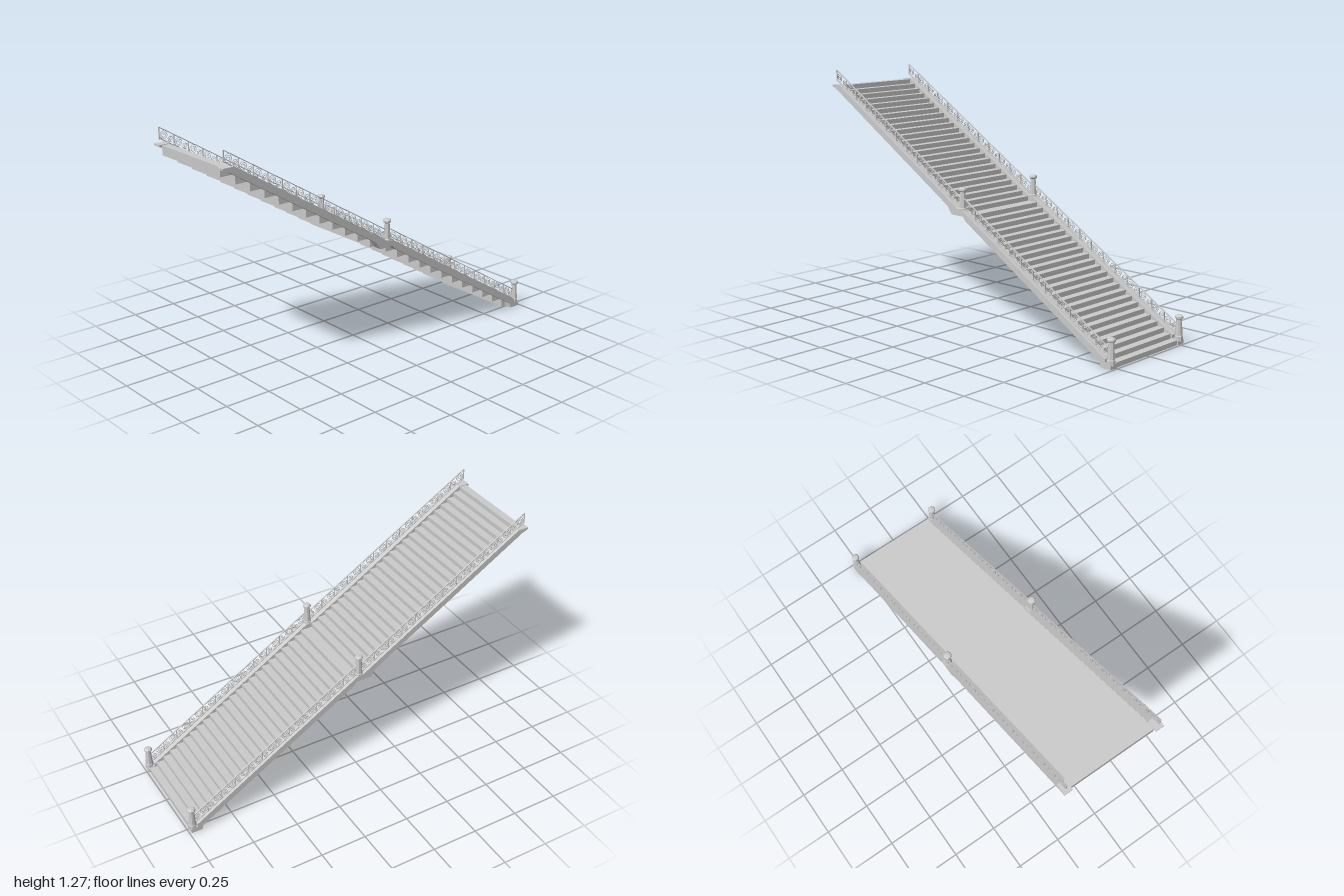
import * as THREE from 'three';

const RISE = 0.0246, RUN = 0.0405, STEPS = 48, FOOT = 0.985, LANDING = 0.025;
const SLOPE = RISE / RUN;
const SIDE_Z = 0.265;

const grey = () => new THREE.MeshStandardMaterial({ color: 0xcccccc });

// front edge of step k (a short landing widens the middle step)
const stepX = k => FOOT - k * RUN - (k >= STEPS / 2 ? LANDING : 0);
// height of the line touching the step edges
const noseY = (x, upper) => RISE + SLOPE * (FOOT - x - (upper ? LANDING : 0));

function extrude(points, depth) {
  const shape = new THREE.Shape(points.map(p => new THREE.Vector2(p[0], p[1])));
  const geo = new THREE.ExtrudeGeometry(shape, { depth, bevelEnabled: false });
  return geo.translate(0, 0, -depth / 2);
}

export function createModel() {
  const model = new THREE.Group();
  model.name = 'staircase';
  const mat = grey();
  const thin = grey();
  thin.side = THREE.DoubleSide;

  const add = (parent, geo, name, x = 0, y = 0, z = 0, m = mat) => {
    const mesh = new THREE.Mesh(geo, m);
    mesh.name = name;
    mesh.position.set(x, y, z);
    parent.add(mesh);
    return mesh;
  };

  // Steps: fine treads above, coarse stepped soffit (one block per two treads) below
  const profile = [[FOOT, 0]];
  for (let k = 0; k < STEPS; k++) {
    const y = RISE * (k + 1);
    profile.push([stepX(k), y]);
    profile.push([k === STEPS - 1 ? -FOOT : stepX(k + 1), y]);
  }
  for (let j = STEPS / 2 - 1; j >= 0; j--) {
    const y = 2 * RISE * j;
    const left = FOOT - 2 * RUN * (j + 1) - (j >= STEPS / 4 ? LANDING : 0);
    const right = j === 0 ? FOOT : FOOT - 2 * RUN * j - (j > STEPS / 4 ? LANDING : 0);
    profile.push([left, y]);
    if (j > 0) profile.push([right, y]);
  }
  add(model, extrude(profile, 0.48), 'steps');

  // Stringers: sloping curbs with flat seats for the posts
  const t = 0.036;
  const stringer = extrude([
    [-1, 1.184], [-1, 1.174], [-0.965, 1.16],
    [-0.09, noseY(-0.09, true) - t], [-0.06, 0.585], [0.02, 0.585], [0.045, noseY(0.045) - t],
    [0.925, noseY(0.925) - t], [0.93, 0], [0.99, 0],
    [0.99, 0.022], [0.955, 0.03], [0.955, noseY(0.955) + 0.003],
    [0.025, noseY(0.025) + 0.003], [0.02, 0.614], [-0.015, 0.618], [-0.94, 1.184],
  ], 0.047);

  // Newel post: eight-sided, tapered, with base and cap
  const postGeo = new THREE.LatheGeometry([
    [0, 0], [0.022, 0], [0.022, 0.025], [0.0195, 0.03], [0.0145, 0.105], [0.0145, 0.112],
    [0.0215, 0.117], [0.0215, 0.126], [0.016, 0.132], [0, 0.134],
  ].map(p => new THREE.Vector2(p[0], p[1])), 8, Math.PI / 8);
  const postMat = grey();
  postMat.flatShading = true;

  // Scroll: a flat iron spiral
  const scrollGeo = (radius, turns, spin) => {
    const pts = [];
    const n = 20;
    for (let i = 0; i <= n; i++) {
      const a = i / n * turns * Math.PI * 2;
      const r = radius * (1 - 0.82 * i / n);
      pts.push(new THREE.Vector3(Math.cos(a + spin) * r, Math.sin(a + spin) * r, 0));
    }
    return new THREE.TubeGeometry(new THREE.CatmullRomCurve3(pts), 40, 0.0016, 4).scale(1, 1, 2);
  };
  const bigScroll = scrollGeo(0.024, 2.25, 1.2);
  const smallScroll = scrollGeo(0.0165, 1.75, 4.2);
  const angle = -Math.atan(SLOPE);
  const GAP = 0.06;

  // Railing of one flight, between two x positions
  function railing(x0, x1, upper) {
    const g = new THREE.Group();
    g.name = upper ? 'upperRailing' : 'lowerRailing';
    const mid = (x0 + x1) / 2, length = (x1 - x0) / Math.cos(angle);
    for (const [h, name] of [[0.006, 'bottomRail'], [GAP, 'topRail']]) {
      const rail = add(g, new THREE.BoxGeometry(length, 0.004, 0.007), name, mid, noseY(mid, upper) + h);
      rail.rotation.z = angle;
    }
    const panels = 12, pitch = (x1 - x0) / panels;
    const bar = new THREE.BoxGeometry(0.004, GAP, 0.006);
    for (let i = 0; i <= panels; i++) {
      const x = x0 + i * pitch;
      add(g, bar, 'baluster', x, noseY(x, upper) + GAP / 2, 0);
      if (i === panels) break;
      const xa = x + pitch * 0.32, xb = x + pitch * 0.79;
      add(g, bigScroll, 'largeScroll', xa, noseY(xa, upper) + 0.033, 0.002, thin);
      const small = add(g, smallScroll, 'smallScroll', xb, noseY(xb, upper) + 0.032, -0.002, thin);
      small.rotation.y = Math.PI;
    }
    return g;
  }

  for (const side of [1, -1]) {
    const name = side > 0 ? 'front' : 'back';
    add(model, stringer, name + 'Stringer', 0, 0, side * 0.2625);
    add(model, postGeo, name + 'BottomPost', 0.975, 0.015, side * SIDE_Z, postMat);
    add(model, postGeo, name + 'MiddlePost', 0, 0.597, side * SIDE_Z, postMat);
    for (const r of [railing(-0.982, -0.012, true), railing(0.012, 0.962, false)]) {
      r.position.z = side * 0.267;
      model.add(r);
    }
  }
  return model;
}
